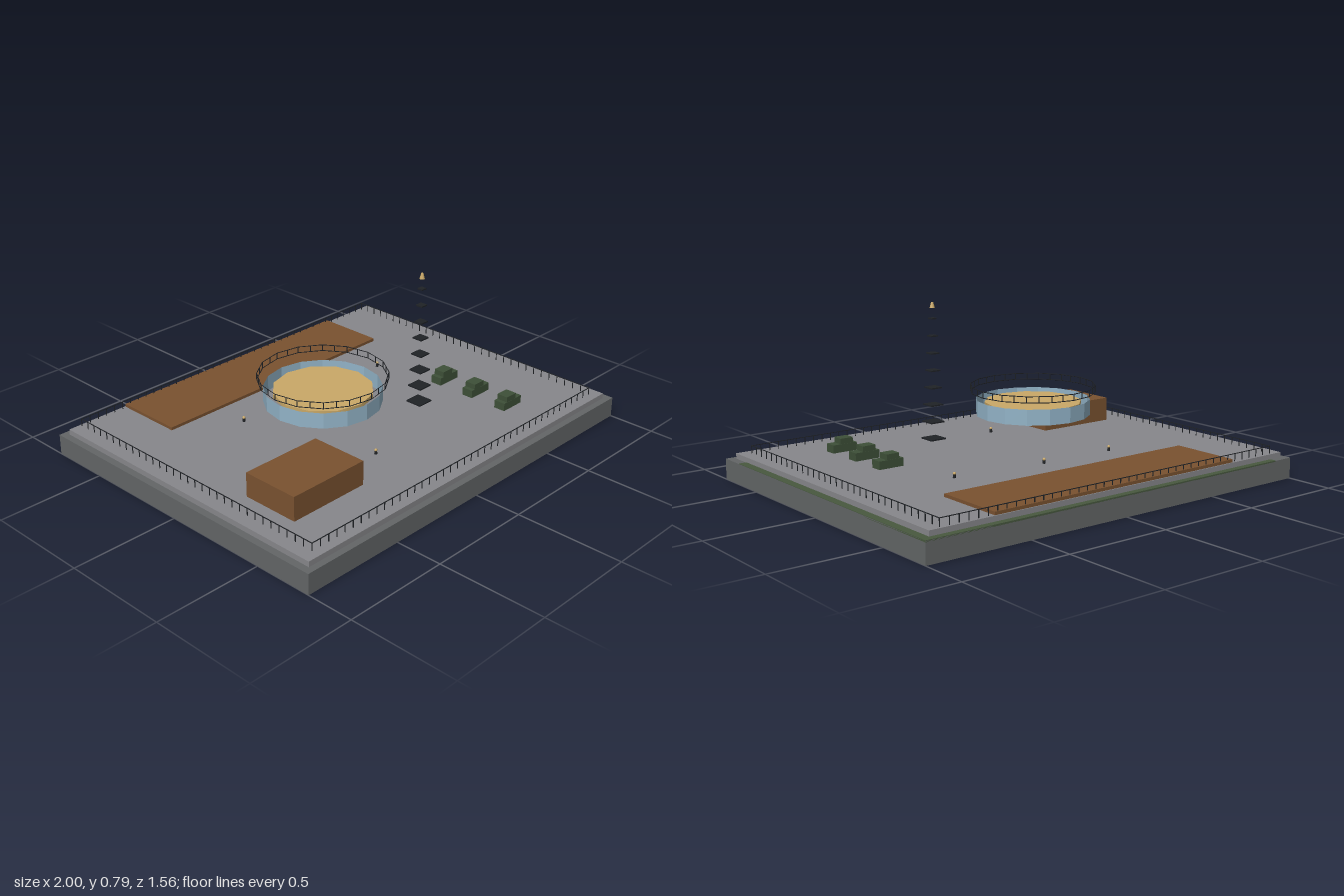
import * as THREE from 'three';

const flat = (name, color, extra = {}) => {
  const m = new THREE.MeshStandardMaterial({ color, ...extra });
  m.name = name;
  return m;
};

export function createModel() {
  const root = new THREE.Group();
  root.name = 'rooftopBase';

  const stone = flat('dark grey', 0x636667);
  const paving = flat('light grey', 0x87878b);
  const grass = flat('grass green', 0x48593f);
  const brown = flat('brown', 0x7a5230);
  const glass = flat('pale blue', 0x92b3c7, { side: THREE.DoubleSide, flatShading: true });
  const tan = flat('tan', 0xcaa968);
  const dark = flat('near black', 0x1f2226);
  const olive = flat('olive green', 0x3e5038);

  const group = (name, x = 0, y = 0, z = 0, parent = root) => {
    const g = new THREE.Group();
    g.name = name;
    g.position.set(x, y, z);
    parent.add(g);
    return g;
  };
  const add = (name, geo, mat, x, y, z, parent = root) => {
    const m = new THREE.Mesh(geo, mat);
    m.name = name;
    m.position.set(x, y, z);
    parent.add(m);
    return m;
  };
  // box given by its limits on each axis
  const box = (name, mat, [x0, x1], [y0, y1], [z0, z1], parent = root) =>
    add(name, new THREE.BoxGeometry(x1 - x0, y1 - y0, z1 - z0), mat,
      (x0 + x1) / 2, (y0 + y1) / 2, (z0 + z1) / 2, parent);

  // hollow base: four thin walls and a deck, open below
  const base = group('base');
  for (const s of [-1, 1]) {
    box('sideWall', stone, s < 0 ? [-1, -0.996] : [0.996, 1], [0, 0.095], [-0.78, 0.78], base);
    box('endWall', stone, [-0.996, 0.996], [0, 0.095], s < 0 ? [-0.78, -0.776] : [0.776, 0.78], base);
  }
  box('deck', stone, [-0.996, 0.996], [0.091, 0.095], [-0.776, 0.776], base);
  box('grassPlate', grass, [-0.9, 1], [0.089, 0.097], [-0.78, 0.655], base);
  box('paving', paving, [-0.967, 0.963], [0.095, 0.12], [-0.75, 0.75], base);

  // hut and long low platform
  box('hut', brown, [-0.81, -0.415], [0.12, 0.232], [0.237, 0.512]);
  box('platform', brown, [-0.658, 0.655], [0.12, 0.134], [-0.745, -0.417]);

  // round cabin: open glass band, floor disc and railing
  const cabin = group('cabin', -0.19, 0, 0.06);
  add('glassBand', new THREE.CylinderGeometry(0.262, 0.262, 0.072, 16, 1, true), glass, 0, 0.301, 0, cabin);
  add('cabinDisc', new THREE.CylinderGeometry(0.224, 0.224, 0.02, 12), tan, 0, 0.315, 0, cabin);
  const R = 0.287;
  for (const y of [0.372, 0.4]) {
    const rail = add('roundRail', new THREE.TorusGeometry(R, 0.002, 4, 16), dark, 0, y, 0, cabin);
    rail.rotation.x = Math.PI / 2;
  }
  for (let i = 0; i < 32; i++) {
    const a = (i / 32) * Math.PI * 2;
    const r = i % 2 ? R * Math.cos(Math.PI / 16) : R;
    add('roundRailPost', new THREE.BoxGeometry(0.003, 0.03, 0.003), dark,
      r * Math.cos(a), 0.386, r * Math.sin(a), cabin);
  }

  // mast of shrinking plates with a tip
  const mast = group('mast', 0.233, 0, 0.25);
  for (let i = 0; i < 8; i++) {
    const w = 0.08 - i * 0.0075;
    add('mastPlate', new THREE.BoxGeometry(w, 0.006, w), dark, 0, 0.175 + i * 0.078, 0, mast);
  }
  add('mastTip', new THREE.CylinderGeometry(0.005, 0.012, 0.026, 8), tan, 0, 0.781, 0, mast);

  // three small vehicles
  for (const z of [0.125, 0.313, 0.5]) {
    const car = group('vehicle', 0, 0, z);
    box('vehicleBody', olive, [0.502, 0.625], [0.12, 0.157], [-0.028, 0.028], car);
    box('vehicleCab', olive, [0.522, 0.586], [0.157, 0.182], [-0.027, 0.027], car);
  }

  // little standing figures
  for (const [x, z] of [[-0.38, -0.25], [0, -0.25], [0.45, -0.205], [-0.19, 0.375]]) {
    const figure = group('figure', x, 0.12, z);
    add('figureBody', new THREE.CylinderGeometry(0.006, 0.007, 0.016, 6), dark, 0, 0.008, 0, figure);
    add('figureHead', new THREE.SphereGeometry(0.007, 8, 6), tan, 0, 0.019, 0, figure);
  }

  // perimeter fence
  const fence = group('fence');
  const X = 0.907, Z0 = -0.737, Z1 = 0.707, T = 0.0015;
  const post = new THREE.BoxGeometry(0.003, 0.036, 0.003);
  for (const z of [Z0, Z1]) {
    box('fenceRail', dark, [-X, X], [0.153, 0.156], [z - T, z + T], fence);
    for (let i = 0; i <= 40; i++) add('fencePost', post, dark, -X + (i * 2 * X) / 40, 0.137, z, fence);
  }
  for (const x of [-X, X]) {
    box('fenceRail', dark, [x - T, x + T], [0.153, 0.156], [Z0, Z1], fence);
    for (let i = 1; i < 32; i++) add('fencePost', post, dark, x, 0.137, Z0 + (i * (Z1 - Z0)) / 32, fence);
  }
  return root;
}
